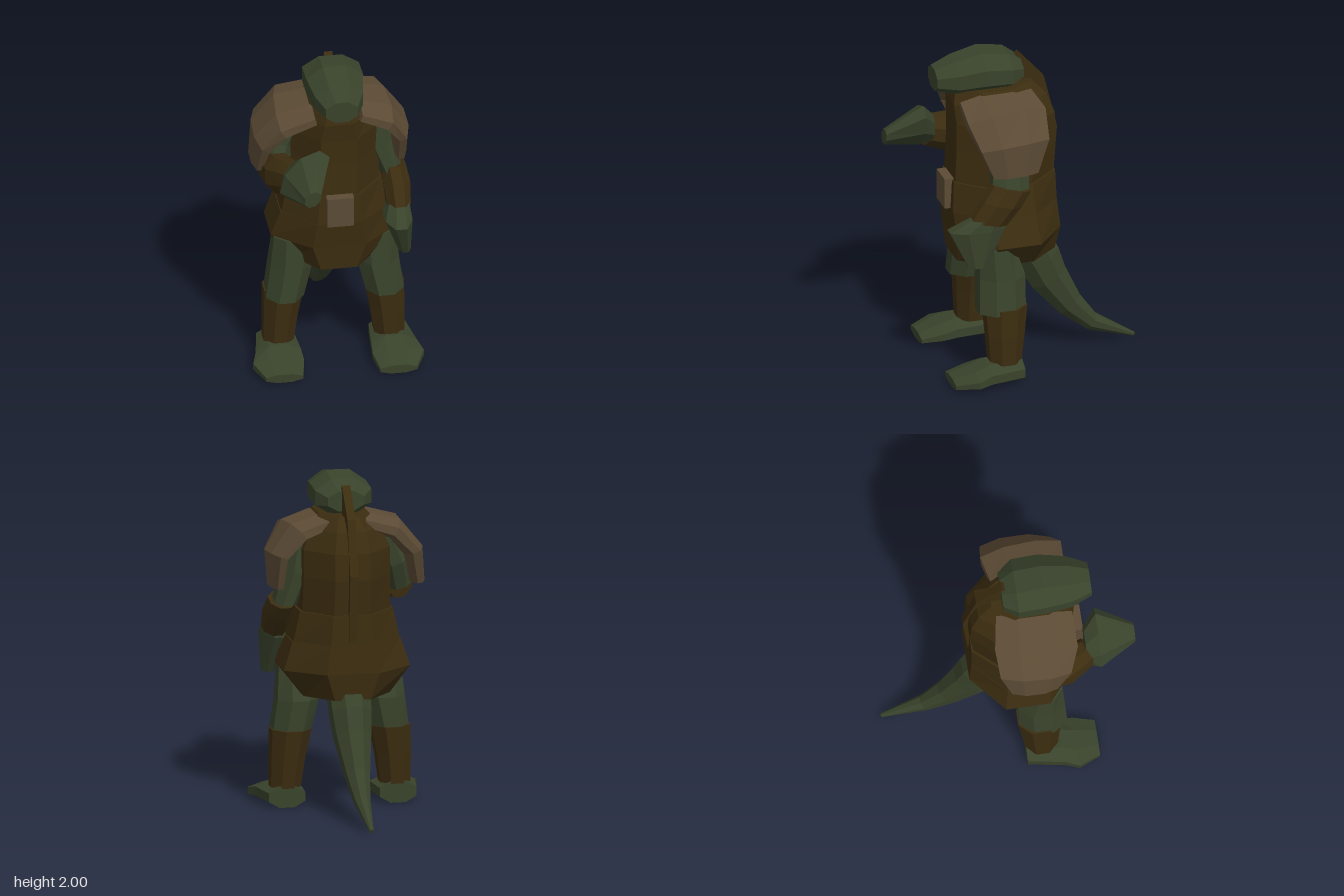
import * as THREE from 'three';

const material = (name, color) => {
  const m = new THREE.MeshStandardMaterial({ color, flatShading: true });
  m.name = name;
  return m;
};

// Skin over cross-sections [x, y, z, a, b]: half-sizes a along "side", b across it.
// Rings follow the path unless a fixed axis, pointing along it, is given.
function loft(name, mat, rows, { side = [1, 0, 0], axis = null, n = 8 } = {}) {
  const V = (a) => new THREE.Vector3(...a);
  const centres = rows.map((r) => V(r.slice(0, 3)));
  const grow = 1 / Math.cos(Math.PI / n);
  const rings = rows.map((r, i) => {
    const t = axis ? V(axis) : centres[Math.min(i + 1, rows.length - 1)].clone()
      .sub(centres[Math.max(i - 1, 0)]);
    t.normalize();
    const u = V(side).addScaledVector(t, -V(side).dot(t)).normalize();
    const v = t.clone().cross(u);
    return Array.from({ length: n }, (_, j) => {
      const w = ((j + 0.5) / n) * Math.PI * 2;
      return centres[i].clone().addScaledVector(u, r[3] * grow * Math.cos(w))
        .addScaledVector(v, r[4] * grow * Math.sin(w));
    });
  });
  const pts = [];
  const last = rows.length - 1;
  for (let j = 0; j < n; j++) {
    const k = (j + 1) % n;
    for (let i = 0; i < last; i++) {
      const [a, b, c, d] = [rings[i][j], rings[i][k], rings[i + 1][k], rings[i + 1][j]];
      pts.push(a, b, c, a, c, d);
    }
    pts.push(centres[0], rings[0][k], rings[0][j]);
    pts.push(centres[last], rings[last][j], rings[last][k]);
  }
  const geo = new THREE.BufferGeometry().setFromPoints(pts);
  geo.computeVertexNormals();
  const mesh = new THREE.Mesh(geo, mat);
  mesh.name = name;
  return mesh;
}

export function createModel() {
  const green = material('scaly green', 0x39432b);
  const brown = material('dark leather', 0x3c2d10);
  const tan = material('worn tan', 0x5c4b35);
  const model = new THREE.Group();
  model.name = 'lizardWarrior';
  const add = (...args) => model.add(loft(...args));
  const up = { axis: [0, 1, 0] };
  const down = { axis: [0, -1, 0] };
  const forward = { axis: [0, 0, 1] };

  // Tunic rows: height, half width, front z, back z
  const tunicRows = (rows) => rows.map(([y, rx, f, b]) => [0, y, (f + b) / 2, rx, (f - b) / 2]);
  add('skirt', brown, tunicRows([
    [0.7, 0.26, 0.39, -0.215], [0.86, 0.38, 0.4, -0.235], [1.03, 0.325, 0.42, -0.22],
  ]), up);
  add('belt', brown, tunicRows([[1.03, 0.32, 0.42, -0.22], [1.21, 0.28, 0.41, -0.215]]), up);
  add('tunic', brown, tunicRows([
    [1.2, 0.265, 0.4, -0.2], [1.42, 0.26, 0.39, -0.225], [1.58, 0.26, 0.39, -0.215],
    [1.7, 0.21, 0.4, -0.17], [1.78, 0.145, 0.385, -0.09],
  ]), up);

  // Belt buckle
  const buckle = new THREE.Mesh(new THREE.BoxGeometry(0.16, 0.19, 0.06), tan);
  buckle.name = 'buckle';
  buckle.position.set(0, 1.125, 0.425);
  model.add(buckle);

  // Thin ridge down the back, drawn in (z, y) and extruded across x
  const ridge = new THREE.Shape([[0.03, 1.9], [-0.02, 1.955], [-0.175, 1.78], [-0.255, 1.45],
    [-0.225, 1.05], [-0.15, 1.05], [-0.15, 1.45], [-0.05, 1.72]].map((p) => new THREE.Vector2(...p)));
  const ridgeGeo = new THREE.ExtrudeGeometry(ridge, { depth: 0.05, bevelEnabled: false });
  ridgeGeo.translate(0, 0, -0.025).rotateY(-Math.PI / 2);
  const ridgeMesh = new THREE.Mesh(ridgeGeo, brown);
  ridgeMesh.name = 'backRidge';
  model.add(ridgeMesh);

  // Blunt head
  add('head', green, [
    [0, 1.86, -0.025, 0.11, 0.06], [0, 1.87, 0.06, 0.17, 0.107], [0, 1.88, 0.22, 0.17, 0.12],
    [0, 1.86, 0.38, 0.145, 0.105], [0, 1.852, 0.505, 0.095, 0.068],
  ], forward);

  // Shoulder guards, the right one pushed out by the raised arm
  const zSide = { side: [0, 0, 1] };
  add('leftShoulderGuard', tan, [
    [0.12, 1.725, 0.155, 0.225, 0.05], [0.29, 1.665, 0.14, 0.245, 0.065],
    [0.39, 1.53, 0.12, 0.21, 0.055], [0.395, 1.34, 0.115, 0.135, 0.04],
  ], zSide);
  add('rightShoulderGuard', tan, [
    [-0.12, 1.725, 0.155, 0.225, 0.05], [-0.31, 1.665, 0.14, 0.245, 0.065],
    [-0.42, 1.53, 0.12, 0.21, 0.06], [-0.45, 1.34, 0.11, 0.135, 0.04],
  ], zSide);

  // Left arm, hanging
  add('leftUpperArm', green, [
    [0.24, 1.64, 0.12, 0.08, 0.1], [0.27, 1.43, 0.12, 0.09, 0.11], [0.34, 1.23, 0.135, 0.07, 0.11],
  ], down);
  add('leftForearm', brown, [
    [0.355, 1.25, 0.13, 0.075, 0.118], [0.368, 1.16, 0.195, 0.08, 0.117], [0.37, 1.05, 0.275, 0.07, 0.108],
  ], { axis: [0, -1, 0.25] });
  add('leftHand', green, [
    [0.37, 1.08, 0.28, 0.06, 0.1], [0.355, 1.01, 0.345, 0.08, 0.17], [0.395, 0.78, 0.35, 0.035, 0.055],
  ], down);

  // Right arm, bent and reaching forward
  add('rightUpperArm', green, [
    [-0.25, 1.62, 0.12, 0.08, 0.1], [-0.32, 1.47, 0.13, 0.085, 0.1], [-0.36, 1.32, 0.18, 0.08, 0.09],
  ]);
  add('rightForearm', brown, [
    [-0.365, 1.32, 0.17, 0.085, 0.1], [-0.335, 1.335, 0.3, 0.1, 0.115], [-0.275, 1.39, 0.46, 0.075, 0.09],
  ]);
  add('rightHand', green, [
    [-0.25, 1.415, 0.44, 0.11, 0.075], [-0.225, 1.45, 0.52, 0.18, 0.095], [-0.21, 1.41, 0.74, 0.055, 0.04],
  ], { side: [0.66, 0.75, 0], ...forward });

  // Legs and feet
  for (const [label, s] of [['left', 1], ['right', -1]]) {
    add(label + 'Thigh', green, [
      [s * 0.25, 0.86, 0.2, 0.115, 0.1], [s * 0.258, 0.65, 0.17, 0.125, 0.14],
      [s * 0.298, 0.44, 0.178, 0.113, 0.142],
    ], down);
    add(label + 'Greave', brown, [
      [s * 0.298, 0.47, 0.155, 0.118, 0.127], [s * 0.318, 0.3, 0.16, 0.102, 0.112],
      [s * 0.33, 0.12, 0.165, 0.09, 0.095],
    ], down);
    add(label + 'Foot', green, [
      [s * 0.335, 0.07, 0.07, 0.11, 0.064], [s * 0.345, 0.068, 0.28, 0.135, 0.065],
      [s * 0.357, 0.054, 0.37, 0.152, 0.05], [s * 0.34, 0.035, 0.5, 0.11, 0.027],
    ], forward);
  }

  // Drooping tail
  add('tail', green, [
    [0, 0.7, -0.09, 0.12, 0.132], [0, 0.61, -0.14, 0.118, 0.13], [0, 0.48, -0.2, 0.105, 0.115],
    [0, 0.28, -0.335, 0.072, 0.08], [0, 0.14, -0.475, 0.045, 0.052], [0, 0.02, -0.735, 0.012, 0.012],
  ]);

  return model;
}
